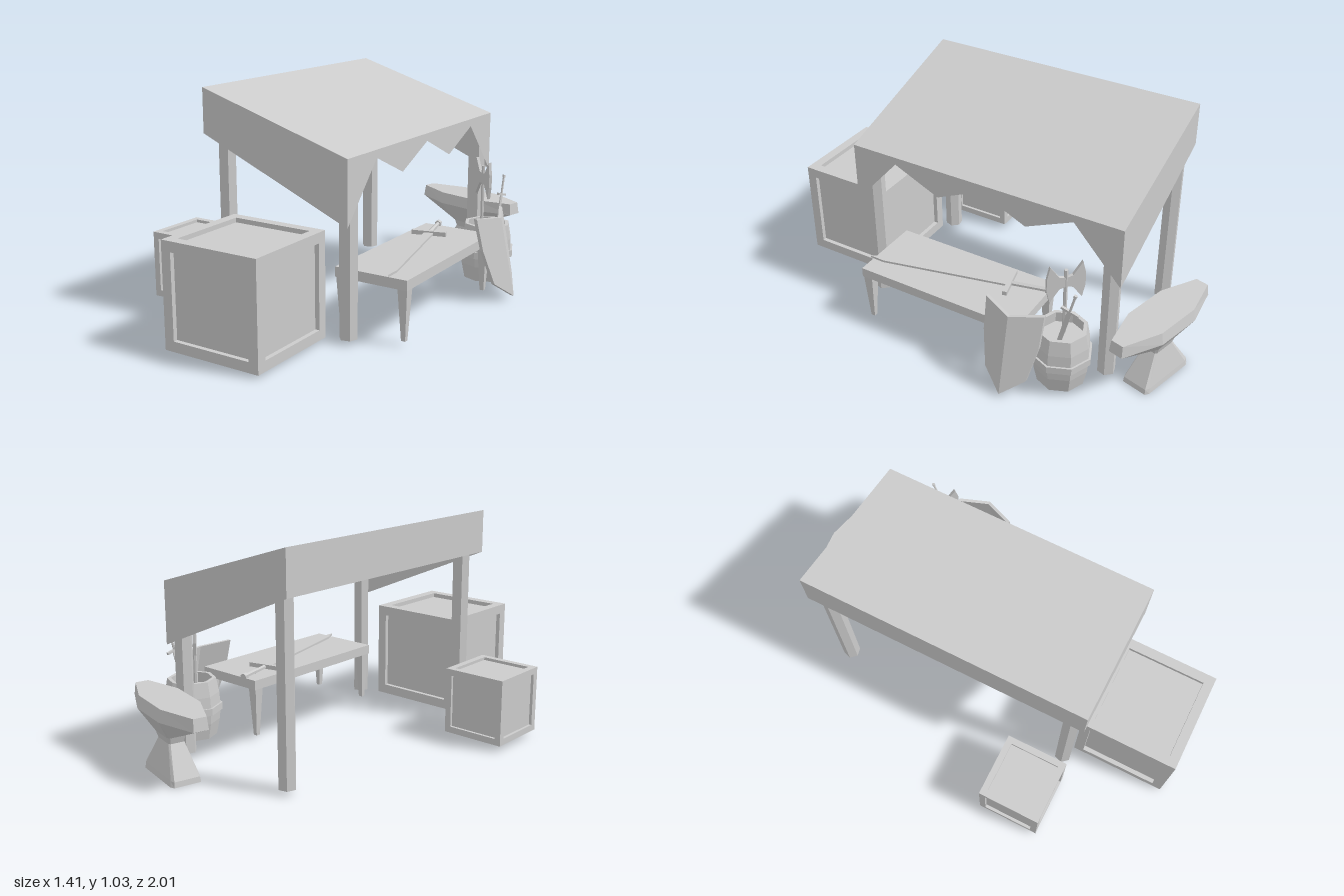
import * as THREE from 'three';

const mat = new THREE.MeshStandardMaterial({ color: 0xcccccc, flatShading: true, side: THREE.DoubleSide });

function add(parent, name, geo, x = 0, y = 0, z = 0) {
  const m = new THREE.Mesh(geo, mat);
  m.name = name;
  m.position.set(x, y, z);
  parent.add(m);
  return m;
}
function subgroup(parent, name, x = 0, y = 0, z = 0) {
  const g = new THREE.Group();
  g.name = name;
  g.position.set(x, y, z);
  parent.add(g);
  return g;
}
const box = (w, h, d) => new THREE.BoxGeometry(w, h, d);
const poly = pts => new THREE.Shape(pts.map(p => new THREE.Vector2(p[0], p[1])));
const slab = (pts, depth) =>
  new THREE.ExtrudeGeometry(poly(pts), { depth, bevelEnabled: false }).translate(0, 0, -depth / 2);

// Joins octagonal sections [y, half length, end half width, shoulder, half width]
function loft(rows) {
  const pos = [], idx = [];
  rows.forEach(([y, L, e, m, W]) => {
    [[L, -e], [L, e], [m, W], [-m, W], [-L, e], [-L, -e], [-m, -W], [m, -W]]
      .forEach(([x, z]) => pos.push(x, y, z));
  });
  for (let r = 0; r < rows.length - 1; r++) {
    for (let i = 0; i < 8; i++) {
      const a = r * 8 + i, b = r * 8 + (i + 1) % 8;
      idx.push(a, a + 8, b + 8, a, b + 8, b);
    }
  }
  const t = (rows.length - 1) * 8;
  for (let i = 1; i < 7; i++) idx.push(0, i, i + 1, t, t + i + 1, t + i);
  const g = new THREE.BufferGeometry();
  g.setAttribute('position', new THREE.Float32BufferAttribute(pos, 3));
  g.setIndex(idx);
  const flat = g.toNonIndexed();
  flat.computeVertexNormals();
  return flat;
}

// Crate: twelve beams around recessed panels
function crate(parent, name, size, t, x, y, z) {
  const g = subgroup(parent, name, x, y, z);
  const inset = 0.9 * t;
  add(g, 'cratePanels', box(size[0] - inset, size[1] - inset, size[2] - inset));
  const [w, h, d] = size;
  for (const a of [-1, 1]) {
    for (const b of [-1, 1]) {
      add(g, 'crateUpright', box(t, h, t), a * (w - t) / 2, 0, b * (d - t) / 2);
      add(g, 'crateRail', box(w - 2 * t, t, t), 0, a * (h - t) / 2, b * (d - t) / 2);
      add(g, 'crateSideRail', box(t, t, d - 2 * t), a * (w - t) / 2, b * (h - t) / 2, 0);
    }
  }
}

// Sword: guard at the origin, blade pointing down
function sword(parent, name) {
  const g = subgroup(parent, name);
  add(g, 'blade', slab([[-0.022, 0], [-0.018, -0.6], [0, -0.67], [0.018, -0.6], [0.022, 0]], 0.01));
  add(g, 'guard', box(0.165, 0.022, 0.024));
  add(g, 'grip', new THREE.CylinderGeometry(0.011, 0.011, 0.16, 6), 0, 0.09, 0);
  add(g, 'pommel', new THREE.CylinderGeometry(0.016, 0.016, 0.025, 6), 0, 0.18, 0);
  return g;
}

function canopy(root) {
  const g = subgroup(root, 'canopy');
  const x0 = -0.36, x1 = 0.375, z0 = -0.76, z1 = 0.575;
  const roof = new THREE.PlaneGeometry(Math.hypot(x1 - x0, 0.23), z1 - z0);
  roof.rotateX(-Math.PI / 2).rotateZ(-Math.atan2(0.23, x1 - x0));
  add(g, 'roofCloth', roof, (x0 + x1) / 2, 0.92, (z0 + z1) / 2);
  const end = [[x0, 1.035], [x0, 0.835], [x1, 0.52], [x1, 0.805]];
  add(g, 'frontValance', new THREE.ShapeGeometry(poly(end)), 0, 0, z1);
  add(g, 'backValance', new THREE.ShapeGeometry(poly(end.slice().reverse())), 0, 0, z0).material = mat;
  const tall = [[z0, 1.035], [z0, 0.835], [z1, 0.835], [z1, 1.035]];
  const zigzag = [[z1, 0.805], [z1, 0.52], [0.35, 0.77], [0.13, 0.67], [-0.09, 0.77],
    [-0.31, 0.67], [-0.535, 0.77], [z0, 0.52], [z0, 0.805]];
  add(g, 'highValance', new THREE.ShapeGeometry(poly(tall)).rotateY(-Math.PI / 2), x0);
  add(g, 'zigzagValance', new THREE.ShapeGeometry(poly(zigzag)).rotateY(-Math.PI / 2), x1);
  // Hexagonal posts
  for (const [x, top] of [[-0.293, 1.0], [0.332, 0.805]]) {
    for (const z of [0.5, -0.703]) {
      const post = new THREE.CylinderGeometry(0.041, 0.041, top - 0.02, 6).rotateY(Math.PI / 6 + Math.PI / 3);
      post.rotateY(Math.PI / 6 * 0.4);
      add(g, 'post', post, x, (top + 0.02) / 2, z);
    }
  }
}

function table(root) {
  const g = subgroup(root, 'table', 0.395, 0, 0.0225);
  add(g, 'tableTop', box(0.35, 0.045, 0.815), 0, 0.273, 0);
  for (const sx of [-1, 1]) {
    for (const sz of [-1, 1]) {
      const leg = new THREE.CylinderGeometry(0.032, 0.014, 0.23, 4).rotateY(Math.PI / 4);
      add(g, 'tableLeg', leg, sx * 0.15, 0.136, sz * 0.38);
    }
  }
  // Sword lying flat across the table top
  const s = sword(root, 'tableSword');
  const back = new THREE.Vector3(-0.155, 0, -0.647).normalize();
  const up = new THREE.Vector3(0, 1, 0);
  const side = new THREE.Vector3().crossVectors(back, up);
  s.quaternion.setFromRotationMatrix(new THREE.Matrix4().makeBasis(side, back, up));
  s.position.set(0.33, 0.304, -0.21);
}

function barrel(root) {
  const g = subgroup(root, 'barrel', 0.47, 0, -0.55);
  const lathe = pts => new THREE.LatheGeometry(pts.map(p => new THREE.Vector2(p[0], p[1])), 8);
  add(g, 'barrelBody', lathe([[0, 0.025], [0.108, 0.025], [0.124, 0.1], [0.13, 0.16],
    [0.125, 0.23], [0.112, 0.3], [0.095, 0.3], [0.097, 0.25], [0, 0.25]]));
  add(g, 'barrelBand', lathe([[0.125, 0.145], [0.138, 0.145], [0.138, 0.178], [0.125, 0.178]]));
  // Sword standing in the barrel
  const s = sword(root, 'barrelSword');
  s.scale.setScalar(0.5);
  s.position.set(0.518, 0.435, -0.605);
  s.rotation.set(-0.25, Math.PI / 2, 0);
  // Double-headed axe
  const axe = subgroup(root, 'axe', 0.445, 0.52, -0.545);
  axe.rotation.y = -0.72;
  add(axe, 'axeShaft', new THREE.CylinderGeometry(0.009, 0.009, 0.36, 6), 0, -0.12, 0);
  for (const s2 of [-1, 1]) {
    const pts = [[0, 0.022], [s2 * 0.03, 0.03], [s2 * 0.072, 0.09], [s2 * 0.086, 0.03],
      [s2 * 0.086, -0.03], [s2 * 0.072, -0.09], [s2 * 0.03, -0.03], [0, -0.022]];
    add(axe, 'axeBlade', slab(pts, 0.014));
  }
}

// Leaning shield: two flat halves folded along a central ridge
function shield(root) {
  const g = subgroup(root, 'shield');
  for (const s of [-1, 1]) {
    const geo = slab([[0, 0.385], [s * 0.14, 0.4], [s * 0.134, 0.25], [s * 0.1, 0.09], [0, 0.015]], 0.016);
    geo.rotateY(-Math.PI / 2);
    const p = geo.attributes.position;
    for (let i = 0; i < p.count; i++) {
      p.setX(i, p.getX(i) + 0.612 + (0.4 - p.getY(i)) * 0.21 - 0.4 * Math.abs(p.getZ(i)));
    }
    geo.computeVertexNormals();
    add(g, 'shieldHalf', geo, 0, 0, -0.372);
  }
}

function anvil(root) {
  const geo = loft([
    [0, 0.148, 0.06, 0.13, 0.07],
    [0.025, 0.145, 0.058, 0.125, 0.066],
    [0.16, 0.06, 0.03, 0.05, 0.036],
    [0.19, 0.07, 0.035, 0.055, 0.045],
    [0.285, 0.298, 0.034, 0.11, 0.1],
    [0.34, 0.29, 0.03, 0.11, 0.09],
  ]);
  add(root, 'anvil', geo, 0.215, 0, -0.887).rotation.y = -0.257;
}

export function createModel() {
  const root = new THREE.Group();
  root.name = 'marketStall';
  canopy(root);
  crate(root, 'largeCrate', [0.475, 0.47, 0.465], 0.046, 0.0025, 0.25, 0.7675);
  crate(root, 'smallCrate', [0.305, 0.31, 0.3], 0.03, -0.5525, 0.18, 0.4);
  table(root);
  barrel(root);
  shield(root);
  anvil(root);
  return root;
}
